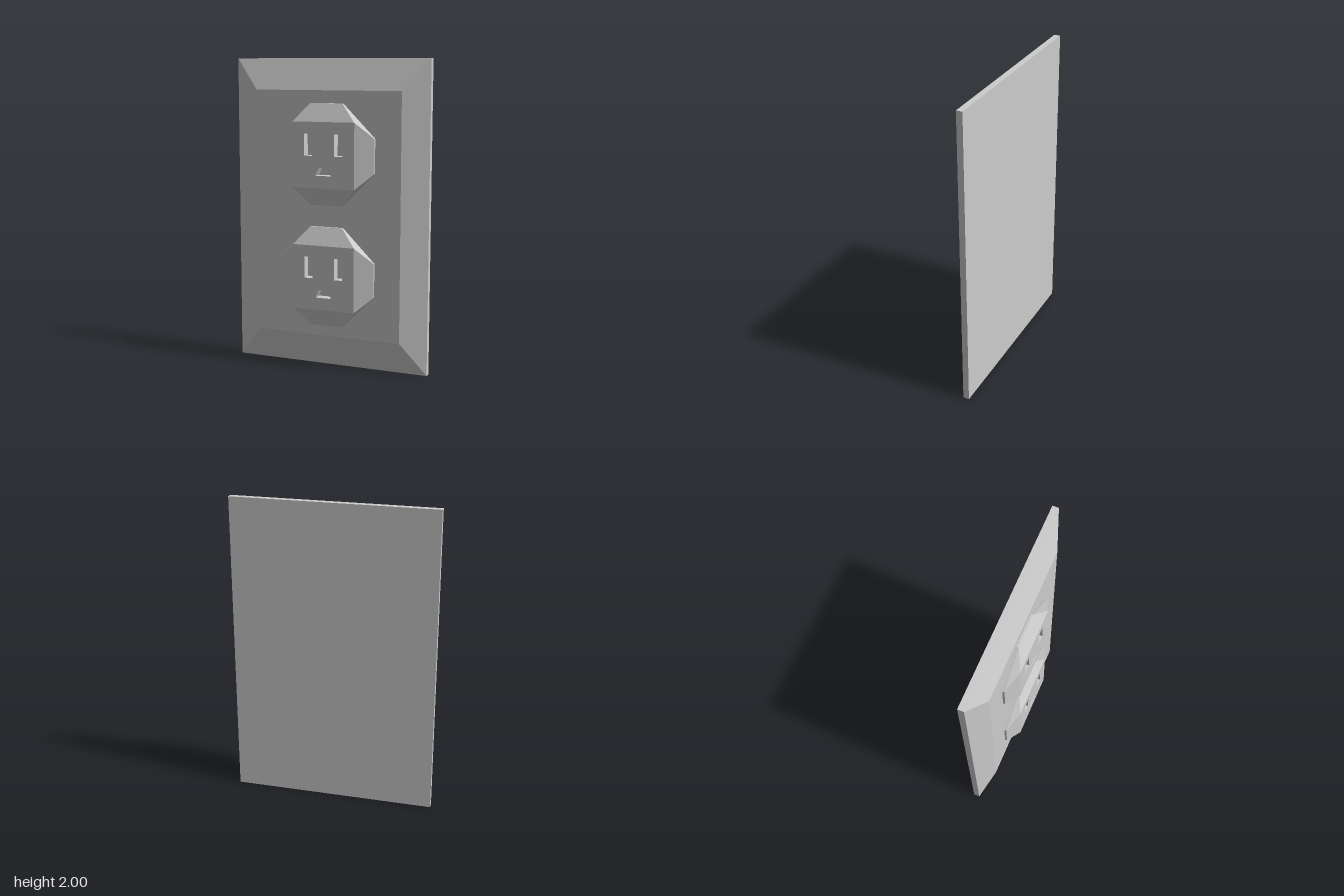
import * as THREE from 'three';
import { mergeGeometries } from 'three/addons/utils/BufferGeometryUtils.js';

const lightGrey = new THREE.MeshStandardMaterial({ color: 0xcccccc });
lightGrey.name = 'light grey plastic';

// Outlines are lists of [x, y], counter-clockwise seen from the front.
const rect = (x0, x1, y0, y1) => [[x0, y0], [x1, y0], [x1, y1], [x0, y1]];
const toPoints = (outline) => outline.map(([x, y]) => new THREE.Vector2(x, y));

// Flat-shaded band joining rings [outline, z]; running towards -z turns it inward.
function band(...rings) {
  const pos = [];
  for (let r = 0; r < rings.length - 1; r++) {
    const [a, za] = rings[r], [b, zb] = rings[r + 1];
    for (let i = 0; i < a.length; i++) {
      const j = (i + 1) % a.length;
      const p = [...a[i], za], q = [...a[j], za], s = [...b[j], zb], t = [...b[i], zb];
      pos.push(...p, ...q, ...s, ...p, ...s, ...t);
    }
  }
  const g = new THREE.BufferGeometry();
  g.setAttribute('position', new THREE.Float32BufferAttribute(pos, 3));
  g.computeVertexNormals();
  return g;
}

// Flat front-facing face with optional holes
function face(outline, z, holes = []) {
  const shape = new THREE.Shape(toPoints(outline));
  holes.forEach((h) => shape.holes.push(new THREE.Path(toPoints(h).reverse())));
  const g = new THREE.ShapeGeometry(shape).toNonIndexed().translate(0, 0, z);
  g.deleteAttribute('uv');
  return g;
}

function part(name, ...geometries) {
  const mesh = new THREE.Mesh(mergeGeometries(geometries), lightGrey);
  mesh.name = name;
  return mesh;
}

// Wall plate: thin slab with a wide bevel on the front
function makePlate() {
  const outer = rect(-0.66, 0.66, 0, 2), inner = rect(-0.495, 0.495, 0.21, 1.8);
  const back = face(outer, 0.085).rotateY(Math.PI);
  return part('wallPlate', band([outer, -0.085], [outer, -0.045], [inner, 0.02]), face(inner, 0.02), back);
}

// Socket: octagonal base tapering to a square face with recessed openings
function makeSocket(name, y) {
  const R = 0.325, c = 0.11, s = 0.21, front = 0.085, floor = 0.024;
  const octagon = [[-c, -R], [c, -R], [R, -c], [R, c], [c, R], [-c, R], [-R, c], [-R, -c]];
  // each square corner is doubled to meet one octagon chamfer
  const square = rect(-s, s, -s, s);
  const doubled = [0, 1, 1, 2, 2, 3, 3, 0].map((i) => square[i]);
  const openings = [
    rect(-0.132, -0.075, -0.005, 0.135),
    rect(0.075, 0.132, -0.005, 0.135),
    [[-0.054, -0.13], [0.054, -0.13], [0.03, -0.08], [-0.03, -0.08]],
  ];

  const group = new THREE.Group();
  group.name = name;
  group.position.y = y;
  group.add(part('socketBody',
    band([octagon, 0.02], [octagon, 0.034], [doubled, front]),
    face(square, front, openings)));
  ['bladeSlotRight', 'bladeSlotLeft', 'groundHole'].forEach((slot, i) => {
    group.add(part(slot, band([openings[i], front], [openings[i], floor]), face(openings[i], floor)));
  });
  return group;
}

export function createModel() {
  const model = new THREE.Group();
  model.name = 'wallOutlet';
  model.add(makePlate(), makeSocket('upperSocket', 1.395), makeSocket('lowerSocket', 0.605));
  return model;
}
